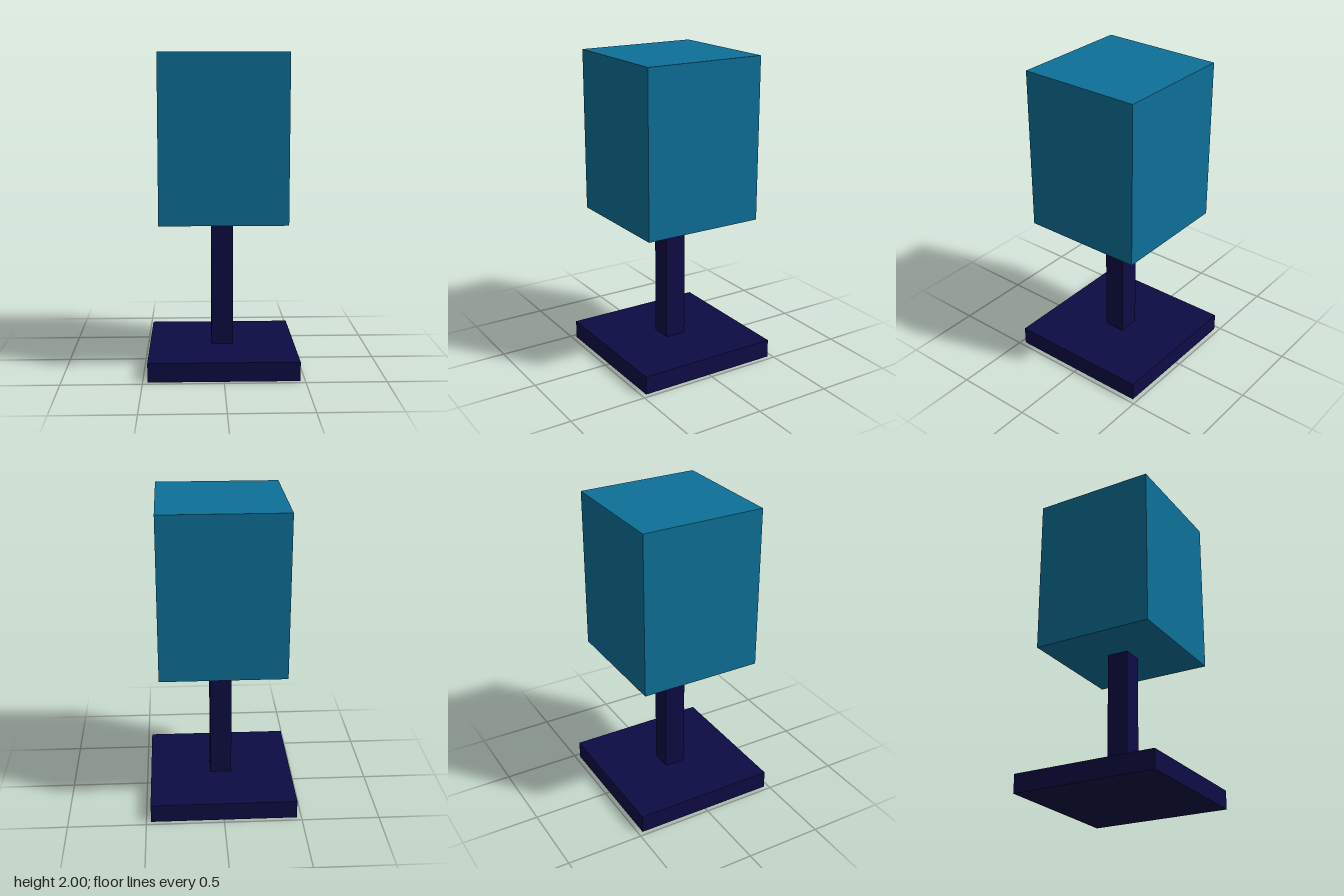
import * as THREE from 'three';

export function createModel() {
  const model = new THREE.Group();
  model.name = 'tableLamp';

  const teal = new THREE.MeshStandardMaterial({ color: 0x0d7098 });
  teal.name = 'teal';
  const navy = new THREE.MeshStandardMaterial({ color: 0x0d0c45 });
  navy.name = 'navy';

  // Square block centred on the y axis, spanning bottom to top
  function addBlock(name, width, bottom, top, material) {
    const mesh = new THREE.Mesh(new THREE.BoxGeometry(width, top - bottom, width), material);
    mesh.name = name;
    mesh.position.y = (bottom + top) / 2;
    model.add(mesh);
  }

  addBlock('base', 0.94, 0, 0.12, navy);
  addBlock('stem', 0.14, 0.12, 0.957, navy);
  addBlock('shade', 0.794, 0.957, 2, teal);

  return model;
}
